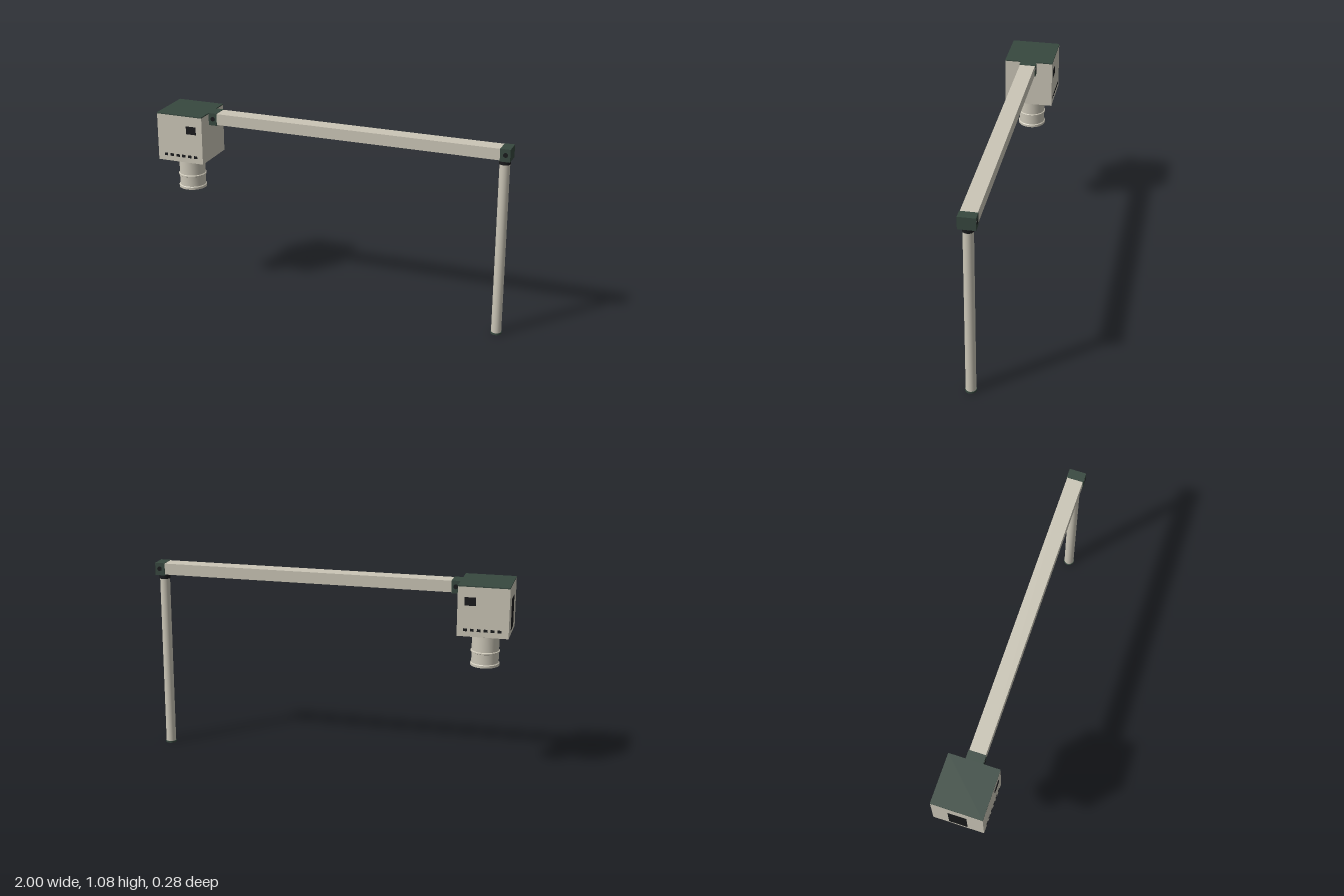
import * as THREE from 'three';
import { toCreasedNormals } from 'three/addons/utils/BufferGeometryUtils.js';

const material = (name, color) => new THREE.MeshStandardMaterial({ name, color });

export function createModel() {
  const beige = material('beige', 0xcbc6b7);
  const green = material('dark green', 0x37483f);
  const black = material('black', 0x18191b);
  const model = new THREE.Group();

  const add = (name, geometry, mat, x, y, z, parent = model) => {
    const mesh = new THREE.Mesh(geometry, mat);
    mesh.name = name;
    mesh.position.set(x, y, z);
    parent.add(mesh);
    return mesh;
  };
  // Box given by its limits on each axis
  const block = (name, mat, [x0, x1], [y0, y1], [z0, z1], parent) =>
    add(name, new THREE.BoxGeometry(x1 - x0, y1 - y0, z1 - z0), mat,
      (x0 + x1) / 2, (y0 + y1) / 2, (z0 + z1) / 2, parent);
  // Closed turned profile with sharp edges
  const turned = (points, sides) => toCreasedNormals(new THREE.LatheGeometry(
    points.map(([r, y]) => new THREE.Vector2(r, y)), sides), 0.6);

  // Housing with its lid
  const housing = new THREE.Group();
  housing.name = 'housing';
  model.add(housing);
  block('housingBody', beige, [-1, -0.725], [0.804, 1.074], [-0.138, 0.138], housing);
  block('housingLid', green, [-1, -0.725], [1.074, 1.08], [-0.139, 0.139], housing);

  // Switch plates and rows of vent slots on front and back
  for (const side of [1, -1]) {
    const z = [side * 0.1385 - 0.002, side * 0.1385 + 0.002];
    block('switchPlate', black, [-0.822, -0.762], [0.973, 1.018], z, housing);
    for (let i = 0; i < 6; i++) {
      const x = -0.952 + i * 0.0366;
      block('ventSlot', black, [x - 0.01, x + 0.01], [0.833, 0.848], z, housing);
    }
  }
  // Tall access panel on the outer end
  block('accessPanel', black, [-1.001, -0.998], [0.827, 1.0], [-0.05, 0.05], housing);

  // Hollow outlet pipe with three raised bands
  add('outletPipe', turned([
    [0.073, 0.615], [0.079, 0.615], [0.079, 0.628], [0.074, 0.632],
    [0.074, 0.688], [0.079, 0.691], [0.079, 0.697], [0.074, 0.7],
    [0.074, 0.785], [0.079, 0.789], [0.079, 0.804], [0.068, 0.804],
    [0.068, 0.632], [0.073, 0.628], [0.073, 0.615],
  ], 32), beige, -0.863, 0, 0);

  // Horizontal beam between two brackets
  block('beam', beige, [-0.68, 0.947], [1.015, 1.078], [-0.044, 0.044]);
  block('housingBracket', green, [-0.725, -0.677], [1.01, 1.08], [-0.047, 0.047]);
  block('postBracket', green, [0.945, 1], [1.01, 1.08], [-0.047, 0.047]);
  for (const x of [-0.7, 0.975]) {
    for (const side of [1, -1]) {
      const bolt = add('bracketBolt', new THREE.CylinderGeometry(0.013, 0.013, 0.004, 16),
        black, x, 1.047, side * 0.047);
      bolt.rotation.x = Math.PI / 2;
    }
  }

  // Post with collar and foot ring
  const postX = 0.9625;
  add('post', new THREE.CylinderGeometry(0.028, 0.028, 0.985, 24), beige, postX, 0.4965, 0);
  add('postCollar', new THREE.CylinderGeometry(0.031, 0.031, 0.027, 16), black, postX, 0.9985, 0);
  add('footRing', turned([
    [0.024, 0], [0.031, 0], [0.031, 0.01], [0.024, 0.01], [0.024, 0],
  ], 24), green, postX, 0, 0);

  return model;
}
